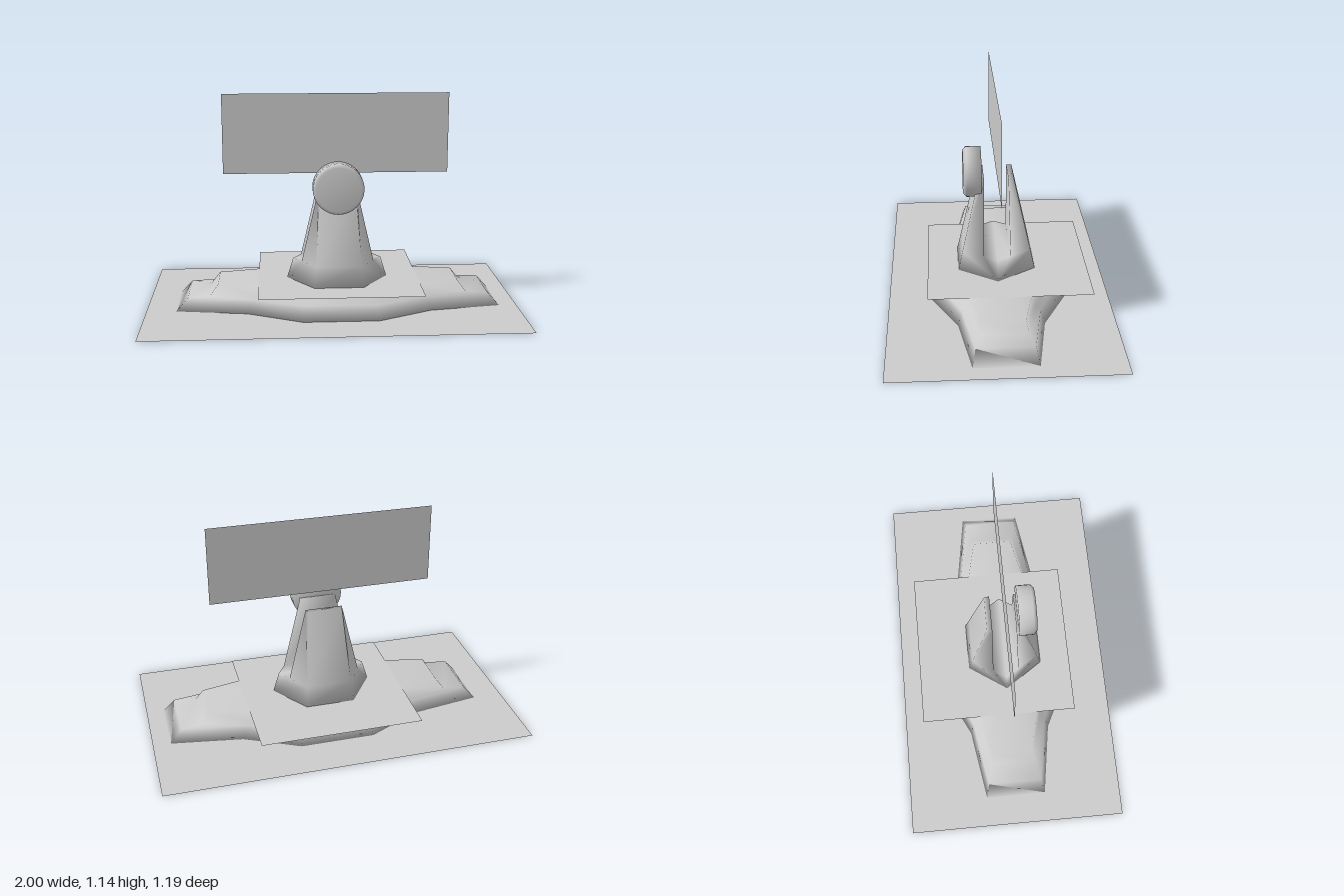
import * as THREE from 'three';

const CX = 0.032; // centre line of the plinth, tower and disc
const material = new THREE.MeshStandardMaterial({ color: 0xcccccc, side: THREE.DoubleSide });

function addMesh(parent, name, geometry) {
  const mesh = new THREE.Mesh(geometry, material);
  mesh.name = name;
  parent.add(mesh);
  return mesh;
}

// Smooth-shaded geometry from [x, y, z] points that faces share
function smoothGeometry(points, index) {
  const geometry = new THREE.BufferGeometry();
  geometry.setAttribute('position', new THREE.Float32BufferAttribute(points.flat(), 3));
  geometry.setIndex(index);
  geometry.computeVertexNormals();
  return geometry;
}

// Skin through rings running +x, -z, -x, +z, closed above and below by fans
function loft(rings) {
  const n = rings[0].length;
  const last = (rings.length - 1) * n;
  const bottomCentre = rings.length * n;
  const topCentre = bottomCentre + 1;
  const index = [];
  for (let k = 0; k < n; k++) {
    const next = (k + 1) % n;
    for (let i = 0; i < last; i += n) {
      const a = i + k, b = i + next;
      index.push(a, b, a + n, b, b + n, a + n);
    }
    index.push(next, k, bottomCentre, last + k, last + next, topCentre);
  }
  const centres = [rings[0], rings[rings.length - 1]].map((ring) => [0, ring[0][1], 0]);
  return smoothGeometry([...rings.flat(), ...centres], index);
}

// Mirror quarter-outline points [x, z] into a full ring at height y
function mirroredRing(y, quarter) {
  const back = [...quarter, ...quarter.map(([x, z]) => [-x, z]).reverse()];
  return [
    ...back.map(([x, z]) => [x, y, -z]),
    ...back.reverse().map(([x, z]) => [x, y, z]),
  ];
}

// Flat horizontal sheet between two corners, with an optional opening
function sheet(x0, x1, z0, z1, opening) {
  const v = (x, z) => new THREE.Vector2(x, -z);
  const shape = new THREE.Shape([v(x0, z1), v(x1, z1), v(x1, z0), v(x0, z0)]);
  if (opening) shape.holes.push(new THREE.Path(opening.map(([x, , z]) => v(x + CX, z))));
  return new THREE.ShapeGeometry(shape).rotateX(-Math.PI / 2);
}

// Hexagonal foot carrying two prongs: a U profile whose half-width varies
function towerGeometry() {
  // [half-width, y, z] from the bottom centre over the front prong to the slot floor
  const half = [
    [0.274, 0.13, 0], [0.132, 0.13, 0.208], [0.123, 0.24, 0.184], [0.093, 0.65, 0.094],
    [0.1, 0.65, 0.065], [0.195, 0.24, 0.071], [0.24, 0.24, 0],
  ];
  const loop = [...half, ...half.slice(1, 6).reverse().map(([x, y, z]) => [x, y, -z])];
  const n = loop.length;
  const index = [];
  // Faces running across from one side to the other
  for (let i = 0; i < n; i++) {
    const j = (i + 1) % n;
    index.push(i, j, i + n, j, j + n, i + n);
  }
  // Side faces, repeated for front and back, left and right
  for (const [a, b, c] of [[0, 1, 2], [0, 2, 5], [0, 5, 6], [2, 3, 4], [2, 4, 5]]) {
    const [p, q, r] = [a, b, c].map((i) => (n - i) % n);
    index.push(a, c, b, a + n, b + n, c + n);
    index.push(p, q, r, p + n, r + n, q + n);
  }
  return smoothGeometry([...loop, ...loop.map(([x, y, z]) => [-x, y, z])], index);
}

export function createModel() {
  const model = new THREE.Group();
  model.name = 'monument';

  // Two-stepped long plinth
  const plinthRings = [
    mirroredRing(0, [[0.872, 0.165], [0.49, 0.225], [0.2, 0.37]]),
    mirroredRing(0.07, [[0.81, 0.148], [0.46, 0.205], [0.19, 0.32]]),
    mirroredRing(0.07, [[0.695, 0.125], [0.43, 0.18], [0.17, 0.275]]),
    mirroredRing(0.13, [[0.65, 0.112], [0.41, 0.165], [0.16, 0.26]]),
  ];
  addMesh(model, 'plinth', loft(plinthRings)).position.x = CX;

  // Ground sheet around the plinth, and the square sheet under the tower
  addMesh(model, 'groundSheet', sheet(-1, 1, -0.597, 0.59, plinthRings[0]));
  addMesh(model, 'upperSheet', sheet(-0.4, 0.47, -0.488, 0.38)).position.y = 0.131;

  // Slotted tower
  addMesh(model, 'tower', towerGeometry()).position.set(CX - 0.003, 0, 0.005);

  // Round disc with a bevelled front rim
  const profile = [[0, 0.083], [0.136, 0.083], [0.136, 0.162], [0.118, 0.18], [0, 0.18]];
  const disc = new THREE.LatheGeometry(profile.map(([r, z]) => new THREE.Vector2(r, z)), 32);
  addMesh(model, 'disc', disc.rotateX(Math.PI / 2)).position.set(CX - 0.003, 0.656, 0);

  // Upright panel above the slot
  addMesh(model, 'panel', new THREE.PlaneGeometry(1.21, 0.43)).position.set(0.023, 0.93, 0.008);

  return model;
}
